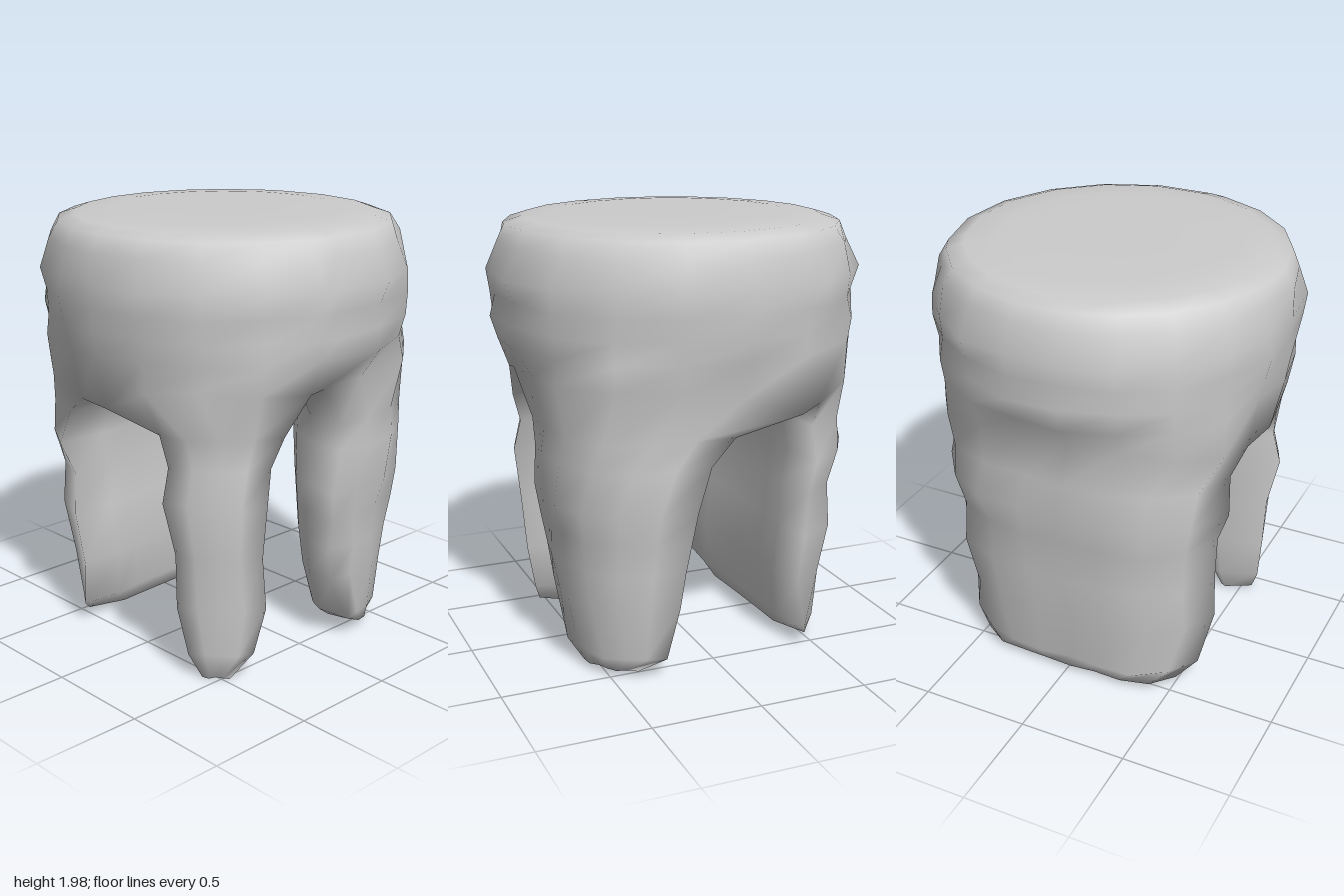
import * as THREE from 'three';

const stone = new THREE.MeshStandardMaterial({ color: 0xcccccc });
stone.name = 'pale grey';

const RAD = Math.PI / 180;
const polar = (deg, r, y) => new THREE.Vector3(Math.sin(deg * RAD) * r, y, Math.cos(deg * RAD) * r);
const diagonal = deg => Math.sin(2 * deg * RAD) ** 2;

// Legs, in order of angle around the stump (0 = front, 90 = left).
// rows, bottom to top: [height, start angle, end angle, outer radius, inner depth]
// arch: heights of the two upper corners, where the leg meets the gaps
// bulge: extra radius on the diagonals
const LEGS = [
  { // wide front leg
    steps: 6, arch: [1.32, 1.2], bulge: 0.13,
    rows: [
      [0.05, 31, 55, 0.56, 0.48], [0.11, 20, 66, 0.58, 0.42], [0.35, 7, 71, 0.62, 0.37],
      [0.52, 4, 73, 0.64, 0.35], [0.66, 3, 75, 0.65, 0.34], [0.8, 1, 77, 0.68, 0.33],
      [1.0, 4, 82, 0.69, 0.32], [1.12, 3, 91, 0.68, 0.32], [1.36, -9, 113, 0.715, 0.3]
    ]
  },
  { // back leg
    steps: 8, arch: [1.23, 1.21], bulge: 0.105,
    rows: [
      [0.05, 136, 229, 0.57, 0.4], [0.12, 128, 238, 0.6, 0.38], [0.36, 123, 245, 0.62, 0.34],
      [0.6, 122, 242, 0.655, 0.36], [0.8, 122, 243, 0.655, 0.37], [0.96, 122, 243, 0.705, 0.37],
      [1.12, 122, 246, 0.68, 0.35], [1.36, 121, 256, 0.71, 0.27]
    ]
  },
  { // narrow front leg
    steps: 4, arch: [1.21, 1.31], bulge: 0.1,
    rows: [
      [0.02, 308, 318, 0.6, 0.55], [0.13, 303, 327, 0.61, 0.5], [0.35, 299, 331, 0.64, 0.46],
      [0.6, 299, 329, 0.65, 0.45], [0.85, 296, 330, 0.69, 0.44], [1.0, 297, 332, 0.66, 0.44],
      [1.14, 294, 336, 0.68, 0.41], [1.36, 272, 345, 0.72, 0.36]
    ]
  }
];

// Round top block: [height, radius, stretch in z, extra radius on the diagonals]
const BODY = [
  [1.46, 0.775, 1.03, 0.03], [1.56, 0.79, 1.035, 0.02], [1.66, 0.8, 1.01, 0.02],
  [1.76, 0.805, 1.035, 0.015], [1.89, 0.785, 1, 0.005], [1.965, 0.75, 1.01, 0],
  [1.99, 0.675, 1, 0], [2, 0.53, 1, 0], [2, 0.25, 1, 0]
];

function stumpGeometry() {
  const pos = [];
  const index = [];
  const add = p => pos.push(p.x, p.y, p.z) / 3 - 1;
  // join two rings of vertex numbers, the lower one first
  const join = (low, high) => low.forEach((a, j) => {
    const k = (j + 1) % low.length;
    index.push(a, low[k], high[k], a, high[k], high[j]);
  });
  // close a ring with a fan
  const cap = (ring, centre, up) => {
    const c = add(centre);
    ring.forEach((a, j) => {
      const b = ring[(j + 1) % ring.length];
      index.push(c, up ? a : b, up ? b : a);
    });
  };

  const seam = [];
  const angles = [];
  const underside = [];

  // Legs: an outer arc closed by an inner face
  for (const { steps, arch, bulge, rows } of LEGS) {
    let below = null;
    rows.forEach(([y, a0, a1, r, inner], i) => {
      const top = i === rows.length - 1;
      const mid = (a0 + a1) / 2;
      const half = (a1 - a0) / 2 * RAD;
      const chord = r * Math.cos(half);
      const side = r * Math.sin(half);
      const ring = [];
      for (let k = 0; k <= steps; k++) {
        const t = k / steps;
        const deg = a0 + (a1 - a0) * t;
        const corner = arch[0] + (arch[1] - arch[0]) * t;
        const height = top ? corner + (y - corner) * Math.sin(Math.PI * t) : y;
        const wobble = 0.01 * Math.sin(k * 2.1 + i * 1.9);
        ring.push(add(polar(deg, r + bulge * diagonal(deg) + wobble, height)));
        if (top) angles.push(deg);
      }
      for (let k = 1; k < steps; k++) {
        const t = k / steps;
        const depth = chord + (inner - chord) * Math.sin(Math.PI * t) ** 0.6;
        const p = polar(mid, depth, top ? 1.19 : y);
        ring.push(add(p.add(polar(mid + 90, side * (1 - 2 * t), 0))));
      }
      if (below) join(below, ring);
      else cap(ring, polar(mid, (r + inner) / 2, y), false);
      below = ring;
    });
    const outer = below.slice(0, steps + 1);
    seam.push(...outer);
    underside.push(outer[0], ...below.slice(steps + 1).reverse(), outer[steps]);
  }
  cap(underside, new THREE.Vector3(0, 1.17, 0), false);

  // Body: carries the outer faces of the legs up to the flat top
  let below = seam;
  BODY.forEach(([y, r, stretch, square], i) => {
    const ring = angles.map((deg, j) => {
      const wobble = y < 1.95 ? 0.013 * Math.sin(j * 2.4 + i * 1.7) : 0;
      const p = polar(deg, r + square * diagonal(deg) + wobble, y);
      p.z *= stretch;
      return add(p);
    });
    join(below, ring);
    below = ring;
  });
  cap(below, new THREE.Vector3(0, 2, 0), true);

  const g = new THREE.BufferGeometry();
  g.setAttribute('position', new THREE.Float32BufferAttribute(pos, 3));
  g.setIndex(index);
  g.computeVertexNormals();
  return g;
}

export function createModel() {
  const model = new THREE.Group();
  model.name = 'threeLeggedStump';
  const stump = new THREE.Mesh(stumpGeometry(), stone);
  stump.name = 'bodyAndLegs';
  model.add(stump);
  return model;
}
